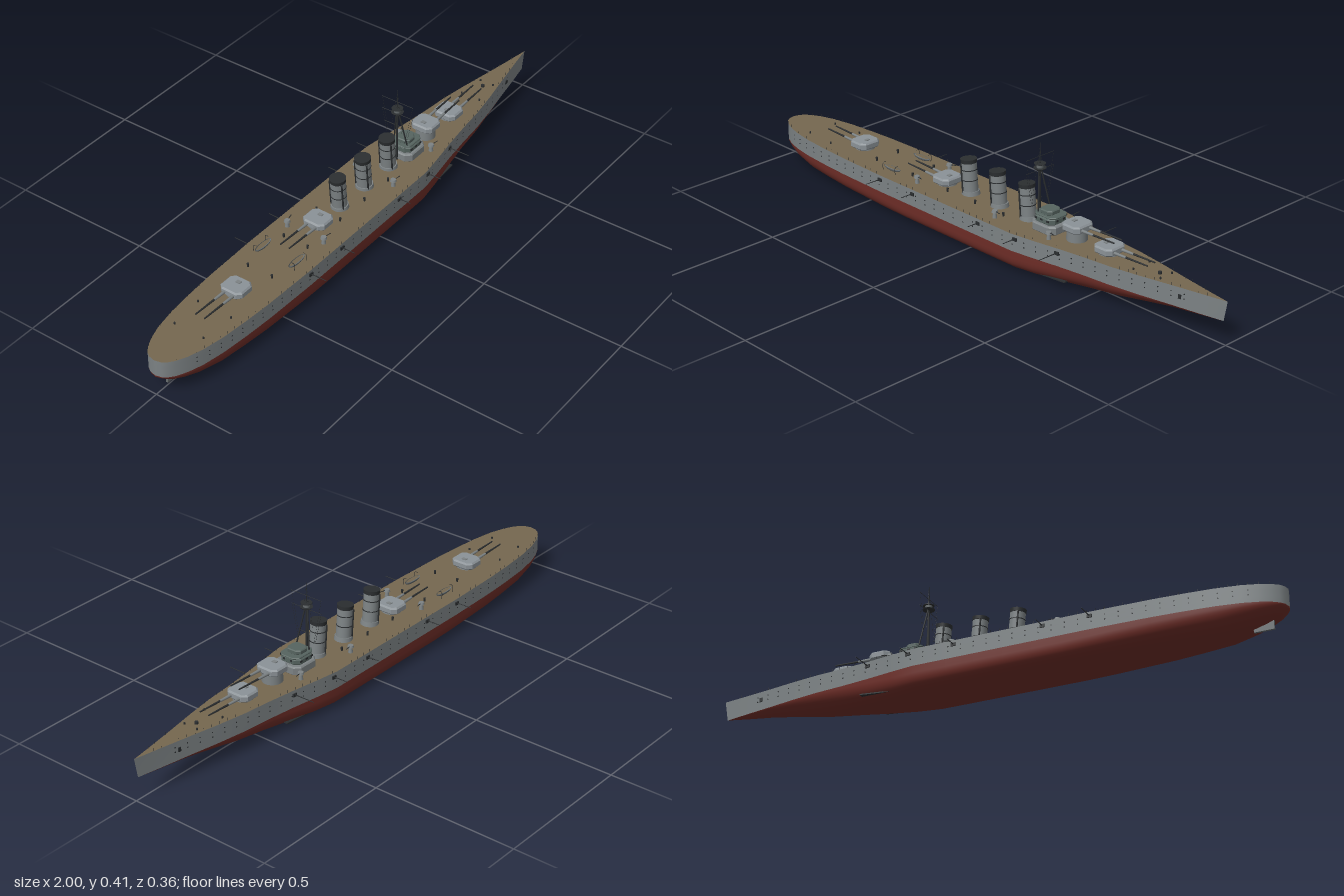
import * as THREE from 'three';
import { mergeGeometries } from 'three/addons/utils/BufferGeometryUtils.js';

const paint = (name, color, side = THREE.FrontSide) => {
  const m = new THREE.MeshStandardMaterial({ color, side });
  m.name = name;
  return m;
};

// Piecewise linear lookup in [x, value] pairs
const lookup = (table, x) => {
  let i = 1;
  while (i < table.length - 1 && x > table[i][0]) i++;
  const [x0, v0] = table[i - 1], [x1, v1] = table[i];
  return v0 + (v1 - v0) * THREE.MathUtils.clamp((x - x0) / (x1 - x0), 0, 1);
};
const BEAM = [[-1, 0], [-0.995, 0.022], [-0.985, 0.037], [-0.965, 0.053], [-0.93, 0.07], [-0.88, 0.086],
  [-0.8, 0.1], [-0.7, 0.109], [-0.6, 0.115], [-0.4, 0.12], [0.22, 0.12], [0.3, 0.109], [0.4, 0.093],
  [0.5, 0.08], [0.6, 0.07], [0.7, 0.054], [0.8, 0.035], [0.9, 0.017], [1, 0]];
const KEEL = [[-1, 0.07], [-0.96, 0.042], [-0.9, 0.022], [-0.8, 0.005], [-0.6, 0.001], [0.3, 0],
  [0.45, 0.007], [0.6, 0.022], [0.8, 0.053], [1, 0.076]];
const FULLNESS = [[-1, 1.8], [-0.6, 3], [-0.3, 4], [0.2, 4], [0.5, 2.2], [0.8, 1.3], [1, 1.2]];
const WATERLINE = 0.076;
const deckY = (x) => 0.135 + 0.009 * Math.max(0, (x - 0.2) / 0.8) ** 1.5;
const beam = (x) => lookup(BEAM, x);

const stations = BEAM.map((p) => p[0]);
for (let x = -0.3; x < 0.2; x += 0.1) stations.push(x);
stations.sort((a, b) => a - b);

// Skin through all stations; point(x, t) walks across one section
function skin(point, steps) {
  const pos = [], index = [], row = steps + 1;
  stations.forEach((x) => { for (let j = 0; j <= steps; j++) pos.push(...point(x, j / steps)); });
  for (let i = 0; i < stations.length - 1; i++) for (let j = 0; j < steps; j++) {
    const a = i * row + j, b = a + row;
    index.push(a, a + 1, b, a + 1, b + 1, b);
  }
  const g = new THREE.BufferGeometry();
  g.setAttribute('position', new THREE.Float32BufferAttribute(pos, 3));
  g.setIndex(index);
  g.computeVertexNormals();
  return g;
}

// Thin round bar between two points
function bar(a, b, r = 0.001, sides = 5, r2 = r) {
  const p = new THREE.Vector3(...a), q = new THREE.Vector3(...b), d = q.clone().sub(p);
  const g = new THREE.CylinderGeometry(r2, r, d.length(), sides);
  g.applyQuaternion(new THREE.Quaternion().setFromUnitVectors(new THREE.Vector3(0, 1, 0), d.normalize()));
  const m = p.add(q).multiplyScalar(0.5);
  return g.translate(m.x, m.y, m.z);
}

// Block with clipped corners in plan and a bevelled roof, standing on y = 0
function block(l, w, h, cut, bevel = 0.004) {
  const a = l / 2 - bevel, b = w / 2 - bevel;
  const s = new THREE.Shape([[a - cut, -b], [a, cut - b], [a, b - cut], [a - cut, b],
    [cut - a, b], [-a, b - cut], [-a, cut - b], [cut - a, -b]].map((p) => new THREE.Vector2(...p)));
  const g = new THREE.ExtrudeGeometry(s, { depth: h - 2 * bevel, bevelThickness: bevel, bevelSize: bevel, bevelSegments: 1 });
  return g.rotateX(-Math.PI / 2).translate(0, bevel, 0);
}

export function createModel() {
  const ship = new THREE.Group();
  ship.name = 'warship';
  const grey = paint('hull grey', 0x7c8284), light = paint('turret grey', 0x8b9297);
  const red = paint('bottom red', 0x6e2d27), tan = paint('deck tan', 0x75674f);
  const dark = paint('dark metal', 0x2b2e30), green = paint('bridge green grey', 0x566460);
  const plate = paint('thin grey plate', 0x666c6e, THREE.DoubleSide);
  const add = (name, geo, mat, x = 0, y = 0, z = 0, parent = ship) => {
    const m = new THREE.Mesh(geo, mat);
    m.name = name;
    m.position.set(x, y, z);
    parent.add(m);
    return m;
  };
  const cyl = (r1, r2, h, n = 20) => new THREE.CylinderGeometry(r1, r2, h, n).translate(0, h / 2, 0);

  // Hull: grey sides, red bottom, planked deck
  const rake = (x) => x - 0.012 * Math.max(0, (x - 0.9) / 0.1);
  for (const s of [1, -1]) add(s > 0 ? 'frontHullSide' : 'rearHullSide', skin((x, t) => {
    const k = s > 0 ? t : 1 - t;
    return [THREE.MathUtils.lerp(x, rake(x), k), THREE.MathUtils.lerp(deckY(x), WATERLINE, k), s * beam(x)];
  }, 3), grey);
  add('hullBottom', skin((x, t) => {
    const a = t * Math.PI, e = 2 / lookup(FULLNESS, x), c = Math.cos(a), k = lookup(KEEL, x);
    return [rake(x), WATERLINE - (WATERLINE - k) * Math.max(0, Math.sin(a)) ** e,
      beam(x) * Math.sign(c) * Math.abs(c) ** e];
  }, 28), red);
  add('deck', skin((x, t) => [x, deckY(x), beam(x) * (2 * t - 1)], 2), tan);

  // Rudder and bilge fins
  add('rudder', new THREE.BoxGeometry(0.065, 0.04, 0.008), plate, -0.918, 0.031, 0);
  for (const s of [1, -1]) {
    const fin = add('bilgeFin', new THREE.BoxGeometry(0.11, 0.004, 0.02), dark, 0.37, 0.024, s * 0.08);
    fin.rotation.z = 0.08;
  }

  // Rails, portholes and hull side booms
  const rails = [], ports = [];
  for (const s of [1, -1]) {
    for (let x = -0.96; x < 0.95; x += 0.03) {
      const z = s * (beam(x) - 0.002), y = deckY(x);
      rails.push(bar([x, y, z], [x, y + 0.009, z], 0.0006, 4));
    }
    for (let x = -0.9; x < 0.86; x += 0.045) for (const h of [0.018, 0.034]) {
      const slope = Math.atan2(beam(x + 0.01) - beam(x - 0.01), 0.02);
      ports.push(new THREE.CylinderGeometry(0.0022, 0.0022, 0.002, 8).rotateX(Math.PI / 2)
        .rotateY(-slope).scale(1, 1, s).rotateZ(0)
        .translate(x, deckY(x) - h, s * beam(x)));
      if (s < 0) {
        // Mirrored discs need their corner order turned back
        const id = ports[ports.length - 1].index.array;
        for (let i = 0; i < id.length; i += 3) [id[i], id[i + 1]] = [id[i + 1], id[i]];
      }
    }
    for (const [x, reach] of [[-0.4, 0.18], [-0.24, 0.17], [0.07, 0.165], [0.235, 0.17], [0.395, 0.172]]) {
      const z = beam(x);
      add('sideGun', bar([x, 0.121, s * (z - 0.01)], [x, 0.122, s * reach], 0.002, 6, 0.0012), dark);
      add('sideGunMount', new THREE.BoxGeometry(0.016, 0.011, 0.008), dark, x, 0.12, s * z);
    }
    add('anchor', new THREE.BoxGeometry(0.01, 0.014, 0.006), dark, 0.84, 0.112, s * beam(0.84));
  }
  add('railPosts', mergeGeometries(rails), dark);
  add('portholes', mergeGeometries(ports), dark);

  // Twin gun turrets
  function turret(name, x, dir, lift) {
    const g = new THREE.Group();
    g.name = name;
    g.position.set(x, deckY(x), 0);
    if (dir < 0) g.rotation.y = Math.PI;
    ship.add(g);
    add('barbette', cyl(0.033, 0.034, lift + 0.006, 24), grey, 0, 0, 0, g);
    add('gunHouse', block(0.076, 0.084, 0.025, 0.012, 0.005), light, 0, lift + 0.005, 0, g);
    add('roofHatch', new THREE.BoxGeometry(0.012, 0.003, 0.016), grey, -0.012, lift + 0.031, 0, g);
    for (const z of [-0.017, 0.017]) {
      add('gunSleeve', bar([0.03, lift + 0.016, z], [0.085, lift + 0.018, z], 0.0055, 10, 0.004), grey, 0, 0, 0, g);
      add('gunBarrel', bar([0.08, lift + 0.018, z], [0.172, lift + 0.021, z], 0.0036, 10, 0.0024), dark, 0, 0, 0, g);
    }
  }
  turret('aftTurret', -0.615, -1, 0);
  turret('midTurret', -0.203, -1, 0);
  turret('raisedTurret', 0.39, 1, 0.029);
  turret('foreTurret', 0.527, 1, 0);

  // Three funnels with dark caps, leaning slightly aft
  for (const x of [-0.089, 0.045, 0.178]) {
    const f = new THREE.Group();
    f.name = 'funnel';
    f.position.set(x, 0.133, 0);
    f.rotation.z = 0.09;
    ship.add(f);
    add('funnelBase', cyl(0.029, 0.031, 0.014), grey, 0, 0, 0, f);
    add('funnelPipe', cyl(0.0255, 0.0255, 0.112), grey, 0, 0, 0, f);
    add('funnelCap', cyl(0.0275, 0.0265, 0.013), dark, 0, 0.11, 0, f);
    for (const y of [0.05, 0.085]) add('funnelBand', cyl(0.0264, 0.0264, 0.003), dark, 0, y, 0, f);
    for (const s of [1, -1]) add('steamPipe', cyl(0.003, 0.003, 0.1, 8), dark, -0.012, 0.008, s * 0.024, f);
  }

  // Stepped bridge with windows and conning tower
  add('bridgeBase', block(0.104, 0.1, 0.03, 0.016), grey, 0.277, 0.134, 0);
  add('bridgeMiddle', block(0.085, 0.082, 0.022, 0.014), green, 0.275, 0.163, 0);
  add('bridgeRoof', block(0.092, 0.076, 0.006, 0.014, 0.002), green, 0.275, 0.184, 0);
  add('bridgeTop', block(0.052, 0.056, 0.016, 0.01, 0.003), green, 0.272, 0.188, 0);
  for (const s of [1, -1]) {
    add('bridgeWindow', new THREE.BoxGeometry(0.003, 0.007, 0.008), dark, 0.317, 0.177, s * 0.014);
    for (const x of [0.25, 0.275, 0.3])
      add('sideWindow', new THREE.BoxGeometry(0.01, 0.006, 0.003), dark, x, 0.177, s * 0.041);
  }

  // Tripod mast, lookout, yards and rigging
  const mx = 0.225;
  add('mast', bar([mx, 0.135, 0], [mx, 0.345, 0], 0.004, 8, 0.003), dark);
  add('topMast', bar([mx, 0.34, 0], [mx, 0.41, 0], 0.0018, 6, 0.0008), dark);
  for (const s of [1, -1]) {
    add('mastLeg', bar([mx + 0.022, 0.18, s * 0.028], [mx, 0.325, s * 0.004], 0.0026, 6), dark);
    for (const [y, foot] of [[0.364, 0.03], [0.318, 0.036]])
      add('rigging', bar([mx, y, s * 0.06], [mx, 0.21, s * foot], 0.0004, 3), dark);
    add('stay', bar([mx, 0.4, 0], [mx - 0.005, 0.25, s * 0.022], 0.0004, 3), dark);
  }
  add('lookoutFloor', cyl(0.021, 0.019, 0.003), dark, mx, 0.323, 0);
  add('lookout', cyl(0.012, 0.011, 0.014), plate, mx, 0.326, 0);
  add('lookoutRoof', cyl(0.019, 0.019, 0.002), dark, mx, 0.339, 0);
  for (const y of [0.364, 0.318]) add('yard', bar([mx, y, -0.061], [mx, y, 0.061], 0.0009, 5), dark);

  // Ship's boats, deck guns, davits and ventilators on both sides
  for (const s of [1, -1]) {
    const hull = new THREE.SphereGeometry(1, 20, 8, 0, Math.PI * 2, Math.PI / 2, Math.PI / 2);
    add('boat', hull.scale(0.039, 0.012, 0.011), plate, -0.4, 0.148, s * 0.066);
    add('boatInside', new THREE.CircleGeometry(1, 20).rotateX(-Math.PI / 2).scale(0.034, 1, 0.008), tan, -0.4, 0.1485, s * 0.066);
    for (const x of [-0.43, -0.37]) {
      const path = new THREE.CatmullRomCurve3([[0.08, 0.135], [0.081, 0.155], [0.076, 0.161], [0.068, 0.16]]
        .map(([z, y]) => new THREE.Vector3(x, y, s * z)));
      add('davit', new THREE.TubeGeometry(path, 10, 0.0009, 5), dark);
    }
    for (const [x, z] of [[-0.27, 0.072], [0.1, 0.075], [0.33, 0.064]]) {
      add('deckGunPost', cyl(0.005, 0.008, 0.02, 10), grey, x, deckY(x), s * z);
      add('deckGunShield', cyl(0.009, 0.011, 0.007, 12), grey, x, deckY(x) + 0.019, s * z);
      add('deckGunBarrel', bar([0, 0, 0], [0.028, 0.002, s * 0.006], 0.0014, 6), dark, x, deckY(x) + 0.023, s * z);
    }
    for (const x of [-0.5, -0.32, -0.15, -0.02, 0.11])
      add('ventilator', cyl(0.004, 0.003, 0.013, 8), dark, x, 0.135, s * 0.047);
    for (const x of [-0.84, -0.72, 0.66, 0.76])
      add('bollard', cyl(0.003, 0.003, 0.006, 8), dark, x, deckY(x), s * beam(x) * 0.6);
  }
  add('capstan', cyl(0.006, 0.006, 0.008, 12), dark, 0.735, deckY(0.735), 0);
  return ship;
}
